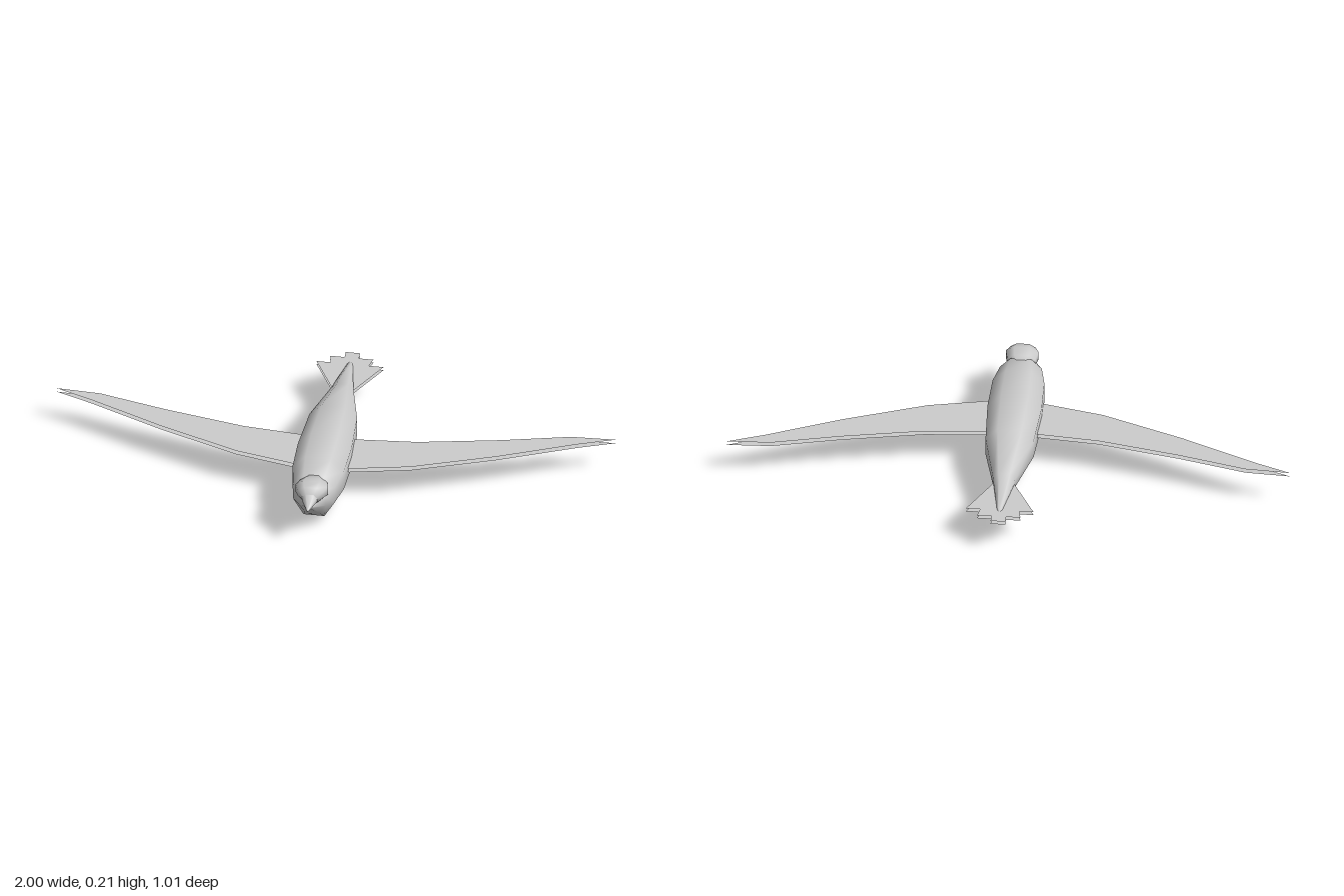
import * as THREE from 'three';

const smooth = new THREE.MeshStandardMaterial({ color: 0xcccccc });
const thin = new THREE.MeshStandardMaterial({ color: 0xcccccc, side: THREE.DoubleSide });

// Octagonal cross-section: [fraction of half width, fraction of height]
const OCTAGON = [[0.5, 0], [1, 0.38], [1, 0.77], [0.5, 1], [-0.5, 1], [-1, 0.77], [-1, 0.38], [-0.5, 0]];

// Skin over sections listed front to back: [z, bottom y, top y, half width]
function loft(name, sections) {
  const n = OCTAGON.length;
  const positions = [];
  const index = [];
  for (const [z, low, high, w] of sections) {
    for (const [u, v] of OCTAGON) positions.push(u * w, low + v * (high - low), z);
  }
  for (let i = 0; i < sections.length - 1; i++) {
    for (let j = 0; j < n; j++) {
      const a = i * n + j;
      const b = i * n + (j + 1) % n;
      index.push(a, a + n, b, b, a + n, b + n);
    }
  }
  // Close both ends
  const last = (sections.length - 1) * n;
  for (let j = 1; j < n - 1; j++) {
    index.push(0, j, j + 1, last, last + j + 1, last + j);
  }
  const geometry = new THREE.BufferGeometry();
  geometry.setAttribute('position', new THREE.Float32BufferAttribute(positions, 3));
  geometry.setIndex(index);
  geometry.computeVertexNormals();
  const mesh = new THREE.Mesh(geometry, smooth);
  mesh.name = name;
  return mesh;
}

// Flat horizontal sheet from an outline of [x, z] points
function sheet(name, outline, side, y) {
  const shape = new THREE.Shape(outline.map(([x, z]) => new THREE.Vector2(x * side, -z)));
  const mesh = new THREE.Mesh(new THREE.ShapeGeometry(shape).rotateX(-Math.PI / 2), thin);
  mesh.name = name;
  mesh.position.y = y;
  return mesh;
}

export function createModel() {
  const bird = new THREE.Group();
  bird.name = 'bird';

  bird.add(loft('body', [
    [0.45, 0.118, 0.132, 0.012],
    [0.41, 0.078, 0.165, 0.05],
    [0.36, 0.03, 0.195, 0.074],
    [0.265, 0.012, 0.21, 0.092],
    [0.12, 0.003, 0.21, 0.096],
    [-0.07, 0.02, 0.2, 0.085],
    [-0.27, 0.073, 0.157, 0.04],
    [-0.44, 0.107, 0.131, 0.01],
    [-0.458, 0.118, 0.124, 0.003],
  ]));

  bird.add(loft('head', [
    [0.464, 0.16, 0.178, 0.02],
    [0.44, 0.14, 0.203, 0.045],
    [0.41, 0.13, 0.21, 0.058],
    [0.375, 0.135, 0.2, 0.05],
    [0.345, 0.15, 0.195, 0.03],
  ]));

  bird.add(loft('beak', [
    [0.505, 0.144, 0.15, 0.003],
    [0.46, 0.139, 0.185, 0.026],
    [0.44, 0.142, 0.185, 0.028],
  ]));

  const wing = [
    [0.02, 0.2], [0.1, 0.195], [0.31, 0.15], [0.6, 0.04], [0.87, -0.08], [1, -0.13],
    [0.84, -0.122], [0.6, -0.063], [0.31, -0.005], [0.1, 0.013], [0.02, 0.015],
  ];
  const innerFeather = [[0.0, -0.26], [0.03, -0.26], [0.077, -0.48], [0.02, -0.48]];
  const outerFeather = [[0.0, -0.22], [0.03, -0.27], [0.12, -0.442], [0.062, -0.442]];
  const middleFeather = [[-0.02, -0.26], [0.02, -0.26], [0.026, -0.51], [-0.026, -0.51]];

  // Wings and tail each have an upper and a lower layer
  for (const [layer, wingY, tailY] of [['upper', 0.126, 0.126], ['lower', 0.111, 0.113]]) {
    for (const [label, side] of [['Left', 1], ['Right', -1]]) {
      bird.add(sheet(layer + label + 'Wing', wing, side, wingY));
      bird.add(sheet(layer + label + 'InnerTailFeather', innerFeather, side, tailY - 0.001));
      bird.add(sheet(layer + label + 'OuterTailFeather', outerFeather, side, tailY - 0.002));
    }
    bird.add(sheet(layer + 'MiddleTailFeather', middleFeather, 1, tailY));
  }
  return bird;
}
